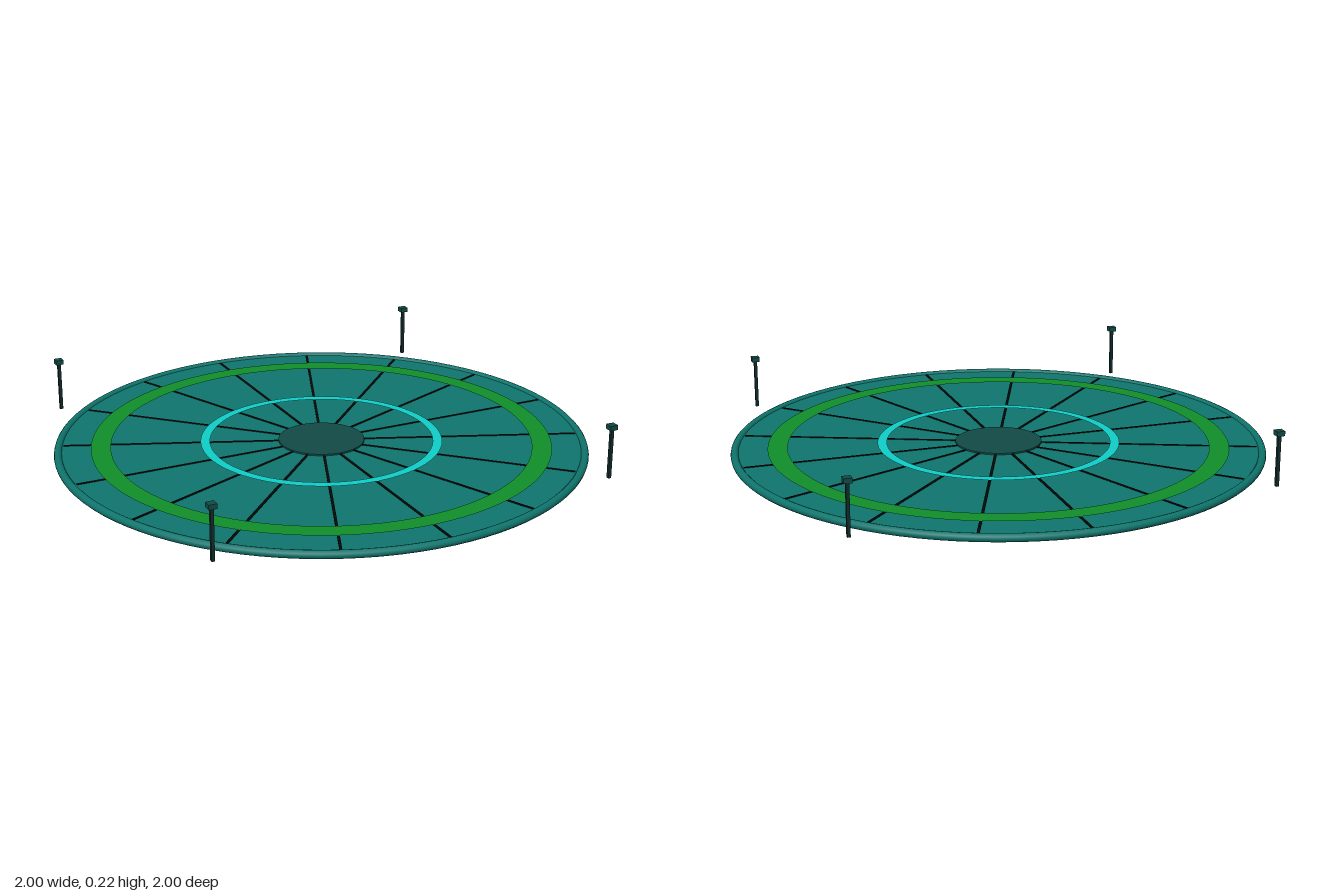
import * as THREE from 'three';

const mat = (name, color) => Object.assign(new THREE.MeshStandardMaterial({ color }), { name });

export function createModel() {
  const teal = mat('teal', 0x0f766e);
  const darkTeal = mat('dark teal', 0x114b46);
  const postDark = mat('post dark', 0x0f2b29);
  const black = mat('seam black', 0x030809);
  const green = mat('green', 0x10902b);
  const cyan = mat('cyan', 0x10cfca);

  const model = new THREE.Group();
  model.name = 'roundPlatform';
  const add = (name, geometry, material, x = 0, y = 0, z = 0) => {
    const mesh = new THREE.Mesh(geometry, material);
    mesh.name = name;
    mesh.position.set(x, y, z);
    model.add(mesh);
    return mesh;
  };

  // Floor disc with a rounded rim
  add('floorDisc', new THREE.CylinderGeometry(0.975, 0.975, 0.022, 96), teal, 0, 0.011, 0);
  add('rim', new THREE.TorusGeometry(0.985, 0.015, 12, 96).rotateX(Math.PI / 2), teal, 0, 0.016, 0);

  // Sixteen radial seams
  for (let i = 0; i < 16; i++) {
    const seam = new THREE.BoxGeometry(0.82, 0.003, 0.01).translate(0.557, 0, 0);
    add('seam', seam, black, 0, 0.0225, 0).rotation.y = (i * Math.PI) / 8;
  }

  // Flat painted bands and the hub
  const band = (name, inner, outer, material, y) =>
    add(name, new THREE.RingGeometry(inner, outer, 96).rotateX(-Math.PI / 2), material, 0, y, 0);
  band('outerBand', 0.79, 0.864, green, 0.027);
  band('innerBand', 0.42, 0.455, cyan, 0.027);
  add('hub', new THREE.CylinderGeometry(0.162, 0.162, 0.006, 48), darkTeal, 0, 0.025, 0);

  // Four corner posts with square caps
  for (const x of [-0.77, 0.77]) {
    for (const z of [-0.77, 0.77]) {
      add('post', new THREE.BoxGeometry(0.012, 0.19, 0.012), postDark, x, 0.11, z);
      add('postCap', new THREE.BoxGeometry(0.03, 0.018, 0.03), darkTeal, x, 0.211, z);
    }
  }
  return model;
}
